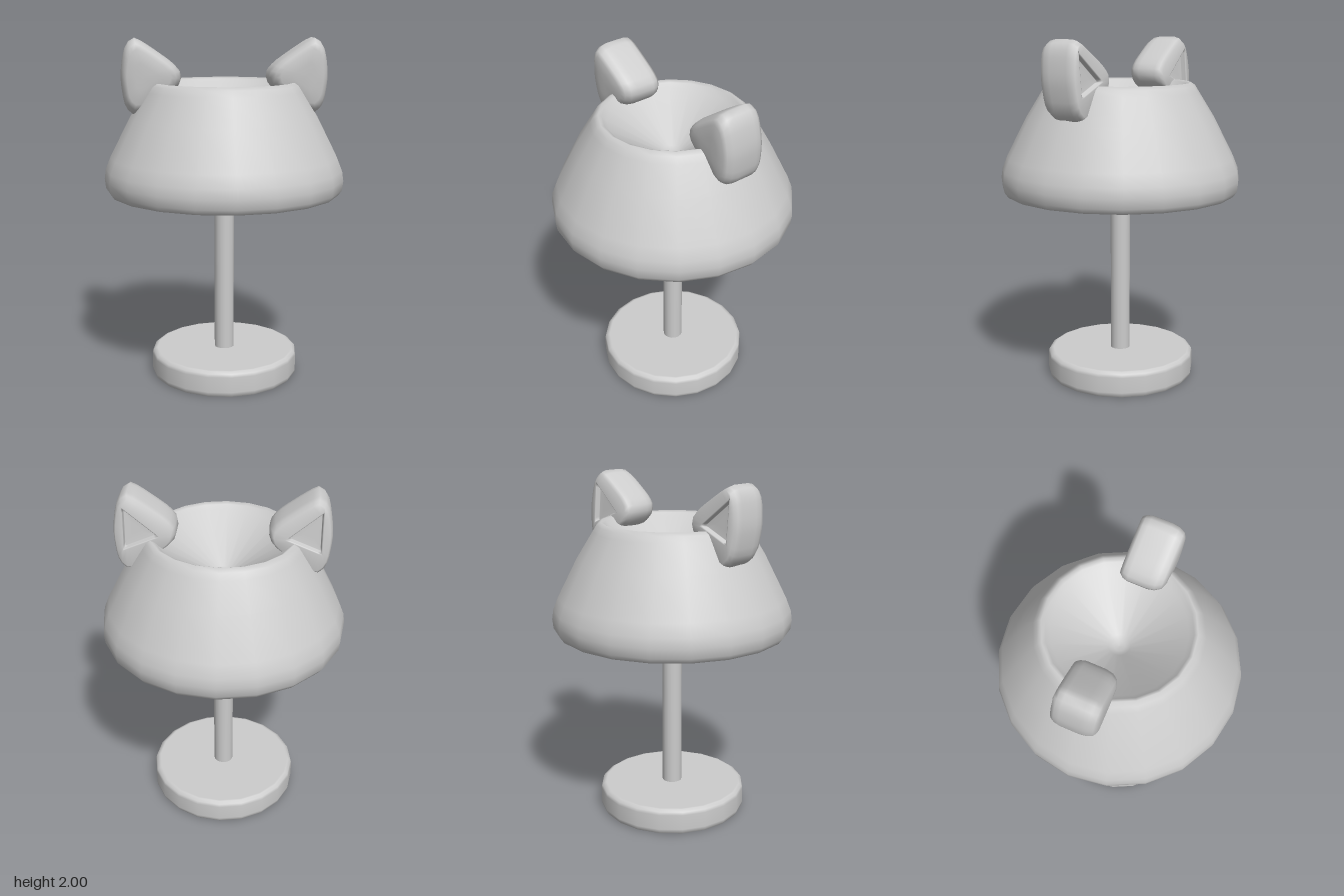
import * as THREE from 'three';

const v2 = (pairs) => pairs.map(([x, y]) => new THREE.Vector2(x, y));

// Ear: cross-section loops from the domed front to a triangular recess in the back
function earGeometry(side) {
  const n = 30;
  const outline = new THREE.CatmullRomCurve3([
    [0.51, 2.0], [0.46, 1.975], [0.37, 1.915], [0.285, 1.85], [0.25, 1.80], [0.265, 1.735],
    [0.38, 1.65], [0.51, 1.57], [0.56, 1.61], [0.585, 1.72], [0.588, 1.82], [0.555, 1.965],
  ].map(([x, y]) => new THREE.Vector3(x, y, 0)), true, 'centripetal').getSpacedPoints(n).slice(0, n);
  const corners = [[0.53, 1.925], [0.345, 1.775], [0.53, 1.70]];
  const triangle = [];
  corners.forEach(([x, y], i) => {
    const [nx, ny] = corners[(i + 1) % 3];
    for (let k = 0; k < n / 3; k++) {
      const t = k / (n / 3);
      triangle.push(new THREE.Vector3(x + (nx - x) * t, y + (ny - y) * t, 0));
    }
  });

  // loop, centre, scale, depth
  const body = [0.46, 1.79], dent = [0.468, 1.80];
  const rings = [
    [outline, body, 0.35, 0.132], [outline, body, 0.72, 0.128], [outline, body, 0.86, 0.115],
    [outline, body, 0.96, 0.085], [outline, body, 1, 0.045], [outline, body, 1, -0.065],
    [outline, body, 0.96, -0.095], [outline, body, 0.88, -0.115],
    [triangle, dent, 1.1, -0.12], [triangle, dent, 1.02, -0.118],
    [triangle, dent, 1, -0.114], [triangle, dent, 0.95, -0.09],
    [triangle, dent, 0.92, -0.088], [triangle, dent, 0.3, -0.088],
  ];
  const pos = [], idx = [];
  const add = (x, y, z) => pos.push(side * x, y, z - 0.08 * (1.82 - y));
  const face = (a, b, c) => (side > 0 ? idx.push(a, b, c) : idx.push(a, c, b));
  rings.forEach(([loop, [cx, cy], s, z]) =>
    loop.forEach((p) => add(cx + (p.x - cx) * s, cy + (p.y - cy) * s, z)));
  add(body[0], body[1], 0.132);
  add(dent[0], dent[1], -0.088);
  const front = rings.length * n, back = front + 1, last = (rings.length - 1) * n;
  for (let i = 0; i < n; i++) {
    const j = (i + 1) % n;
    face(front, i, j);
    face(back, last + j, last + i);
    for (let r = 0; r < rings.length - 1; r++) {
      const a = r * n, b = a + n;
      face(a + i, b + i, b + j);
      face(a + i, b + j, a + j);
    }
  }
  const g = new THREE.BufferGeometry();
  g.setAttribute('position', new THREE.Float32BufferAttribute(pos, 3));
  g.setIndex(idx);
  g.computeVertexNormals();
  return g;
}

export function createModel() {
  const model = new THREE.Group();
  const grey = new THREE.MeshStandardMaterial({ color: 0xcccccc, side: THREE.DoubleSide });
  grey.name = 'grey';
  const add = (name, geometry) => {
    const mesh = new THREE.Mesh(geometry, grey);
    mesh.name = name;
    model.add(mesh);
    return mesh;
  };

  // Hollow base, open underneath
  add('base', new THREE.LatheGeometry(v2([
    [0.425, 0], [0.435, 0.015], [0.437, 0.03], [0.437, 0.12], [0.432, 0.138],
    [0.415, 0.15], [0.405, 0.151], [0, 0.151],
  ]), 20));

  // Pole, reaching from inside the base to the shade's ceiling
  add('pole', new THREE.CylinderGeometry(0.058, 0.058, 1.36, 16, 1, true)).position.y = 0.775;

  // Thick shade: ceiling, inner wall, lower rim, outer wall, upper rim, sunken funnel
  add('shade', new THREE.LatheGeometry(v2([
    [0, 1.43], [0.305, 1.43], [0.309, 1.427], [0.49, 1.16], [0.515, 1.125], [0.545, 1.112],
    [0.64, 1.11], [0.668, 1.115], [0.69, 1.145], [0.696, 1.2], [0.688, 1.255], [0.66, 1.325],
    [0.545, 1.55], [0.452, 1.70], [0.43, 1.735], [0.405, 1.752], [0.385, 1.742], [0.36, 1.715],
    [0.06, 1.515], [0.03, 1.502], [0, 1.5],
  ]), 20));

  add('leftEar', earGeometry(1));
  add('rightEar', earGeometry(-1));
  return model;
}
